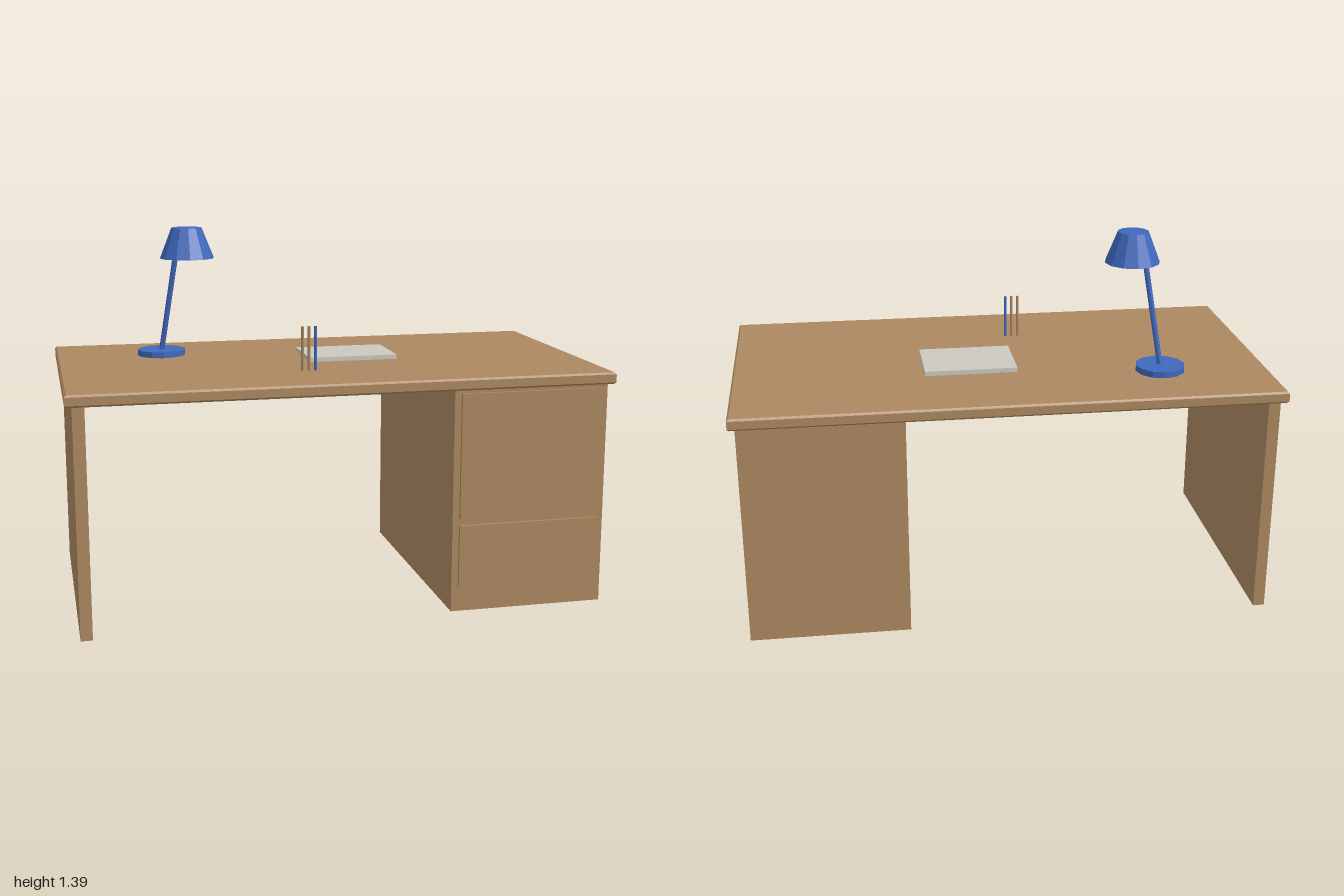
import * as THREE from 'three';

const material = (name, color) => {
  const m = new THREE.MeshStandardMaterial({ color });
  m.name = name;
  return m;
};

export function createModel() {
  const desk = new THREE.Group();
  desk.name = 'desk';
  const wood = material('wood', 0xab8860);
  const blue = material('lamp blue', 0x4068bd);
  const paper = material('paper grey', 0xcac8c0);

  const add = (name, geometry, mat, parent = desk) => {
    const mesh = new THREE.Mesh(geometry, mat);
    mesh.name = name;
    parent.add(mesh);
    return mesh;
  };
  // Box given by its lower and upper corners
  const box = (name, mat, [x0, y0, z0], [x1, y1, z1], parent) => {
    const mesh = add(name, new THREE.BoxGeometry(x1 - x0, y1 - y0, z1 - z0), mat, parent);
    mesh.position.set((x0 + x1) / 2, (y0 + y1) / 2, (z0 + z1) / 2);
    return mesh;
  };
  // Faceted cylinder or cone frustum
  const round = (rTop, rBottom, height, sides) =>
    new THREE.CylinderGeometry(rTop, rBottom, height, sides).toNonIndexed();
  const facet = (geometry) => {
    geometry.computeVertexNormals();
    return geometry;
  };

  // Tabletop with chamfered edges
  const bevel = 0.007, w = 1 - bevel, d = 0.526 - bevel;
  const outline = new THREE.Shape();
  outline.moveTo(-w, -d).lineTo(w, -d).lineTo(w, d).lineTo(-w, d).closePath();
  const slab = new THREE.ExtrudeGeometry(outline, {
    depth: 0.044 - 2 * bevel, bevelEnabled: true, bevelSegments: 1,
    bevelSize: bevel, bevelThickness: bevel,
  });
  slab.rotateX(-Math.PI / 2);
  add('tabletop', slab, wood).position.y = 0.84 + bevel;

  // Supports and drawer fronts
  box('sidePanel', wood, [-0.975, 0, -0.507], [-0.932, 0.84, 0.507]);
  box('cabinet', wood, [0.385, 0, -0.507], [0.975, 0.84, 0.507]);
  box('upperDrawer', wood, [0.41, 0.357, 0.5], [0.95, 0.827, 0.519]);
  box('lowerDrawer', wood, [0.41, 0.097, 0.5], [0.95, 0.332, 0.519]);

  // Notebook
  box('notebook', paper, [-0.058, 0.883, -0.188], [0.29, 0.901, 0.066]);

  // Three upright pencils
  const pencils = new THREE.Group();
  pencils.name = 'pencils';
  desk.add(pencils);
  [wood, wood, blue].forEach((mat, i) => {
    const pencil = add('pencil' + (i + 1), facet(round(0.0055, 0.0055, 0.166, 6)), mat, pencils);
    pencil.position.set(-0.12 + i * 0.0245, 0.966, 0.237);
  });

  // Desk lamp: round foot, leaning stem, conical shade
  const lamp = new THREE.Group();
  lamp.name = 'lamp';
  desk.add(lamp);
  const foot = add('lampFoot', facet(round(0.093, 0.093, 0.024, 12)), blue, lamp);
  foot.position.set(-0.592, 0.895, -0.235);

  const from = new THREE.Vector3(-0.592, 0.9, -0.235);
  const to = new THREE.Vector3(-0.532, 1.3, -0.177);
  const lean = to.clone().sub(from);
  const stem = add('lampStem', facet(round(0.0105, 0.0105, lean.length(), 8)), blue, lamp);
  stem.position.copy(from).add(to).multiplyScalar(0.5);
  stem.quaternion.setFromUnitVectors(new THREE.Vector3(0, 1, 0), lean.normalize());

  const shade = add('lampShade', facet(round(0.058, 0.104, 0.116, 12)), blue, lamp);
  shade.position.set(-0.498, 1.333, -0.118);

  return desk;
}
